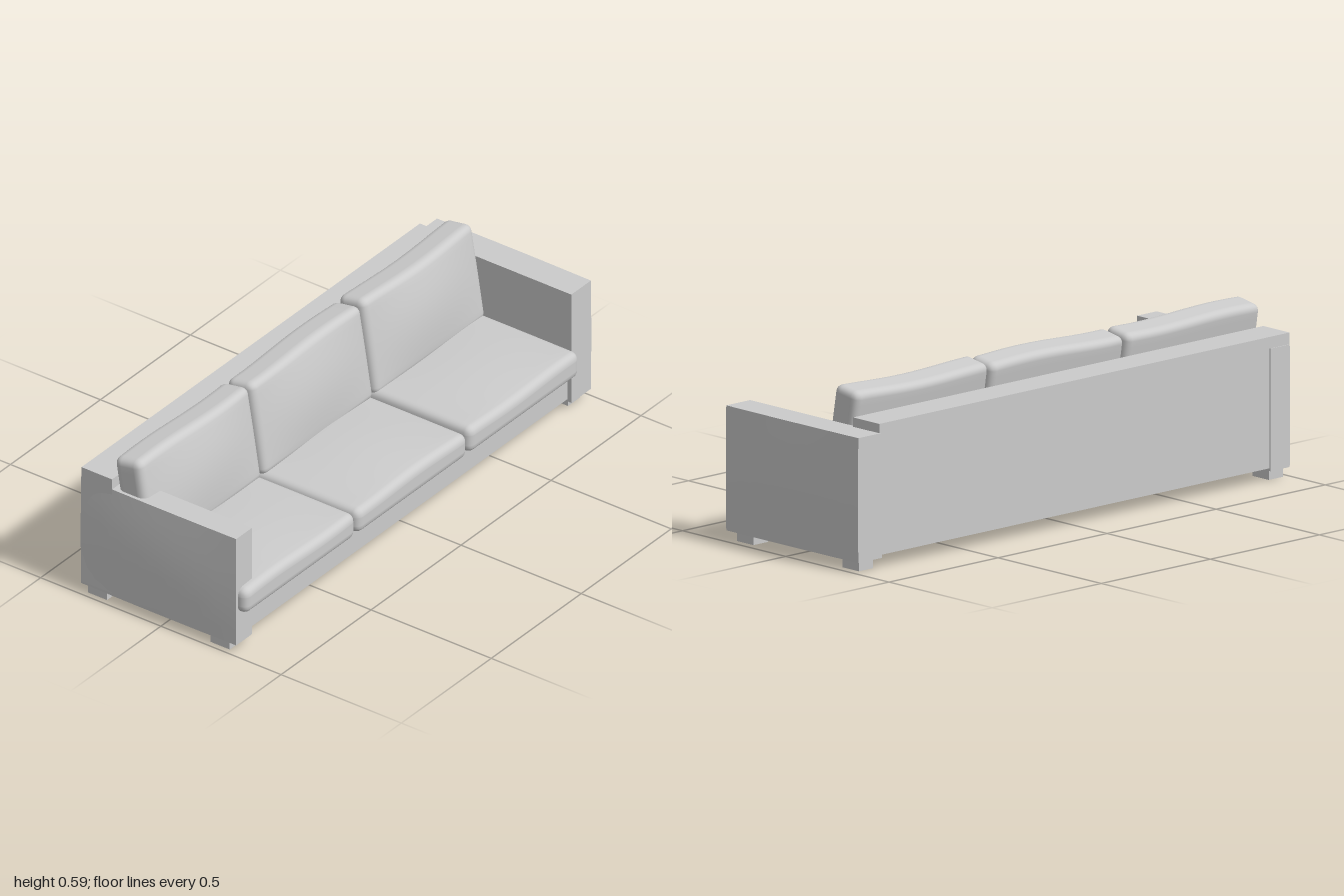
import * as THREE from 'three';
import { mergeVertices } from 'three/addons/utils/BufferGeometryUtils.js';

const material = new THREE.MeshStandardMaterial({ color: 0xcccccc });

// Rounded, finely divided block; bend(p, h) then puffs each vertex
function cushionGeometry(hx, hy, hz, r, bend) {
  const box = new THREE.BoxGeometry(2, 2, 2, 20, 20, 20);
  box.deleteAttribute('uv');
  box.deleteAttribute('normal');
  const geo = mergeVertices(box);
  const pos = geo.attributes.position;
  const p = new THREE.Vector3();
  const core = new THREE.Vector3();
  const inner = new THREE.Vector3(hx - r, hy - r, hz - r);
  const low = inner.clone().negate();
  // The outer 30% of each axis becomes the rounded rim
  const spread = (t, c) => Math.abs(t) <= 0.7
    ? c * t / 0.7
    : Math.sign(t) * (c + r * (Math.abs(t) - 0.7) / 0.3);
  for (let i = 0; i < pos.count; i++) {
    p.fromBufferAttribute(pos, i);
    p.set(spread(p.x, inner.x), spread(p.y, inner.y), spread(p.z, inner.z));
    core.copy(p).clamp(low, inner);
    p.sub(core).setLength(r).add(core);
    bend(p);
    pos.setXYZ(i, p.x, p.y, p.z);
  }
  geo.computeVertexNormals();
  return geo;
}

export function createModel() {
  const sofa = new THREE.Group();
  sofa.name = 'sofa';

  const add = (name, geo, x = 0, y = 0, z = 0) => {
    const mesh = new THREE.Mesh(geo, material);
    mesh.name = name;
    mesh.position.set(x, y, z);
    sofa.add(mesh);
    return mesh;
  };
  const block = (name, x0, x1, y0, y1, z0, z1) => add(name,
    new THREE.BoxGeometry(x1 - x0, y1 - y0, z1 - z0),
    (x0 + x1) / 2, (y0 + y1) / 2, (z0 + z1) / 2);

  // Frame: base and backrest
  block('base', -0.33, 0.285, 0.045, 0.16, -0.9, 0.98);
  block('backrest', -0.337, -0.21, 0.045, 0.495, -0.89, 0.991);

  // Arms, with a slightly bowed outer face
  const arm = (name, side, inside, top, front) => {
    const w = front + 0.34, h = top - 0.035, d = 0.988 - inside;
    const geo = new THREE.BoxGeometry(w, h, d, 8, 8, 1);
    const pos = geo.attributes.position;
    for (let i = 0; i < pos.count; i++) {
      const z = pos.getZ(i);
      if (z * side > 0) {
        const bow = Math.cos(pos.getX(i) / w * 2.6) * Math.cos(pos.getY(i) / h * 2.6);
        pos.setZ(i, z + side * 0.012 * bow);
      }
    }
    geo.computeVertexNormals();
    add(name, geo, (front - 0.34) / 2, (top + 0.035) / 2, side * (0.988 + inside) / 2);
  };
  arm('leftSideArm', 1, 0.9, 0.455, 0.305);
  arm('rightSideArm', -1, 0.88, 0.463, 0.3);

  // Four block feet
  for (const x of [-0.28, 0.23])
    for (const z of [0.945, -0.935])
      block('foot', x - 0.04, x + 0.04, 0, 0.04, z - 0.033, z + 0.033);

  // Three seat cushions with three back cushions leaning behind them
  const half = 0.307;
  [0.672, 0.05, -0.572].forEach((z, i) => {
    const seat = cushionGeometry(0.26, 0.048, half, 0.028, (p) => {
      const puff = Math.cos(p.x / 0.26 * 1.57) * Math.cos(p.z / half * 1.57);
      if (p.y > 0) p.y += 0.012 * puff + 0.004 * Math.sin(p.z * 11 + i * 2);
    });
    add('seatCushion', seat, 0.079, 0.204, z);

    const back = cushionGeometry(0.056, 0.178, half, 0.026, (p) => {
      const puff = Math.cos(p.y / 0.178 * 1.57) * Math.cos(p.z / half * 1.57);
      if (p.x > 0) p.x += 0.018 * puff;
      if (p.y > 0) p.y += 0.006 * (Math.sin(p.z * 9 + i * 2.4) - 0.6) * p.y / 0.178;
    });
    add('backCushion', back, -0.132, 0.406, z).rotation.z = 0.165;
  });

  return sofa;
}
